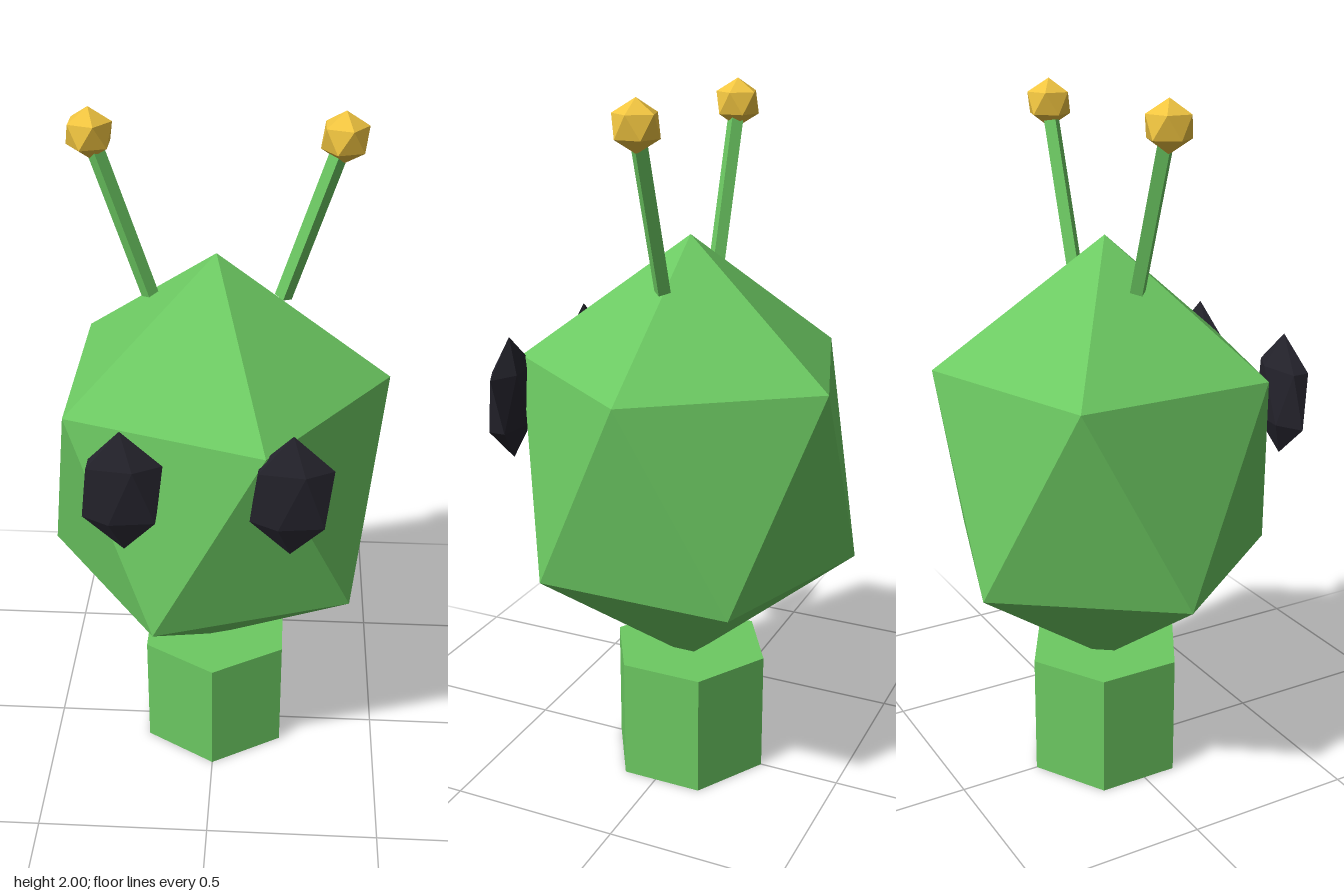
import * as THREE from 'three';
import { ConvexGeometry } from 'three/addons/geometries/ConvexGeometry.js';

const Z = -0.02; // body axis depth

// Unit icosahedron standing on a vertex: two poles and two staggered rings of five
function poleIcosahedron() {
  const points = [new THREE.Vector3(0, 1, 0), new THREE.Vector3(0, -1, 0)];
  const h = 1 / Math.sqrt(5), r = 2 * h;
  for (let i = 0; i < 5; i++) {
    const a = (i * 2 * Math.PI) / 5;
    const x = r * Math.cos(a), z = r * Math.sin(a);
    points.push(new THREE.Vector3(x, h, z), new THREE.Vector3(-x, -h, z));
  }
  return new ConvexGeometry(points);
}

export function createModel() {
  const model = new THREE.Group();
  model.name = 'antennaCreature';

  const paint = (color) => new THREE.MeshStandardMaterial({ color, flatShading: true });
  const green = paint(0x6cc962);
  const gold = paint(0xf0c440);
  const dark = paint(0x24232c);

  const add = (name, geometry, material, x, y, z) => {
    const mesh = new THREE.Mesh(geometry, material);
    mesh.name = name;
    mesh.position.set(x, y, z);
    model.add(mesh);
    return mesh;
  };

  // Hexagonal body and tall faceted head
  add('body', new THREE.CylinderGeometry(0.239, 0.239, 0.365, 6), green, 0, 0.1825, Z);
  const ico = poleIcosahedron();
  add('head', ico, green, 0, 0.967, Z).scale.set(0.54, 0.645, 0.54);

  for (const [side, s] of [['left', 1], ['right', -1]]) {
    // Flattened eye on the front of the head
    add(side + 'Eye', ico, dark, s * 0.217, 1.147, 0.437).scale.set(0.119, 0.178, 0.047);

    // Four-sided stalk leaning outwards, ending inside its tip
    const base = new THREE.Vector2(s * 0.18, 1.49);
    const tip = new THREE.Vector2(s * 0.325, 1.933);
    const mid = base.clone().lerp(tip, 0.5);
    const stalk = add(side + 'Antenna',
      new THREE.CylinderGeometry(0.024, 0.024, base.distanceTo(tip), 4), green, mid.x, mid.y, Z);
    stalk.rotation.z = -Math.atan2(tip.x - base.x, tip.y - base.y);

    add(side + 'AntennaTip', ico, gold, tip.x, tip.y, Z).scale.setScalar(0.068);
  }
  return model;
}
